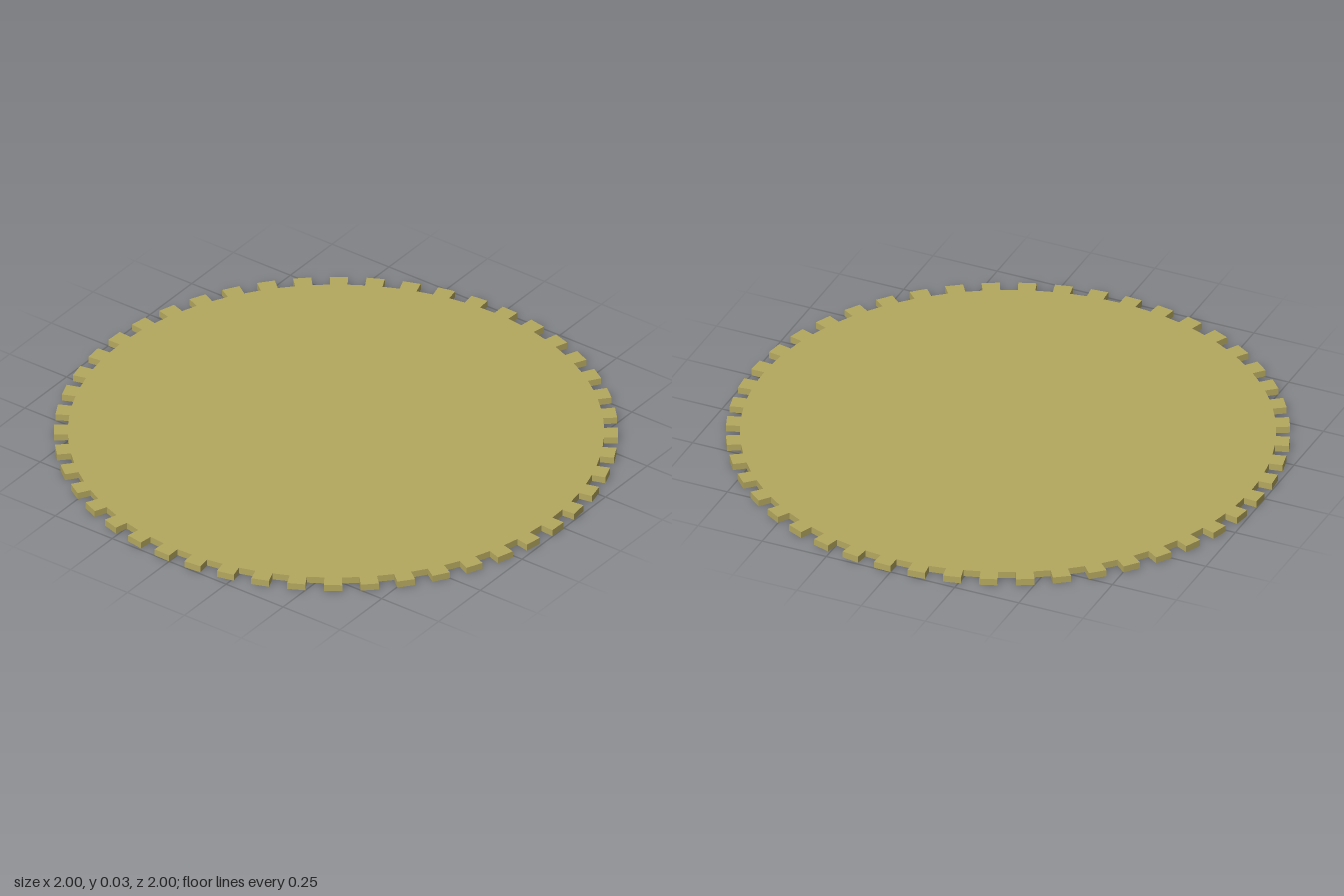
import * as THREE from 'three';

const TEETH = 48;
const TIP_RADIUS = 1;
const ROOT_RADIUS = 0.95;
const THICKNESS = 0.025;

// Outline with one tooth and one gap of equal angle per step
function gearOutline() {
  const half = Math.PI / TEETH;
  const points = [];
  const add = (radius, angle) =>
    points.push(new THREE.Vector2(radius * Math.sin(angle), radius * Math.cos(angle)));
  for (let i = 0; i < TEETH; i++) {
    const start = 2 * half * i;
    add(ROOT_RADIUS, start);
    add(TIP_RADIUS, start);
    add(TIP_RADIUS, start + half);
    add(ROOT_RADIUS, start + half);
  }
  return new THREE.Shape(points);
}

export function createModel() {
  const group = new THREE.Group();
  group.name = 'gear';

  // Flat toothed disc lying on the ground plane
  const geometry = new THREE.ExtrudeGeometry(gearOutline(), {
    depth: THICKNESS,
    bevelEnabled: false,
  });
  geometry.rotateX(-Math.PI / 2);

  const disc = new THREE.Mesh(geometry, new THREE.MeshStandardMaterial({ color: 0xb5a85f }));
  disc.name = 'toothedDisc';
  group.add(disc);
  return group;
}
